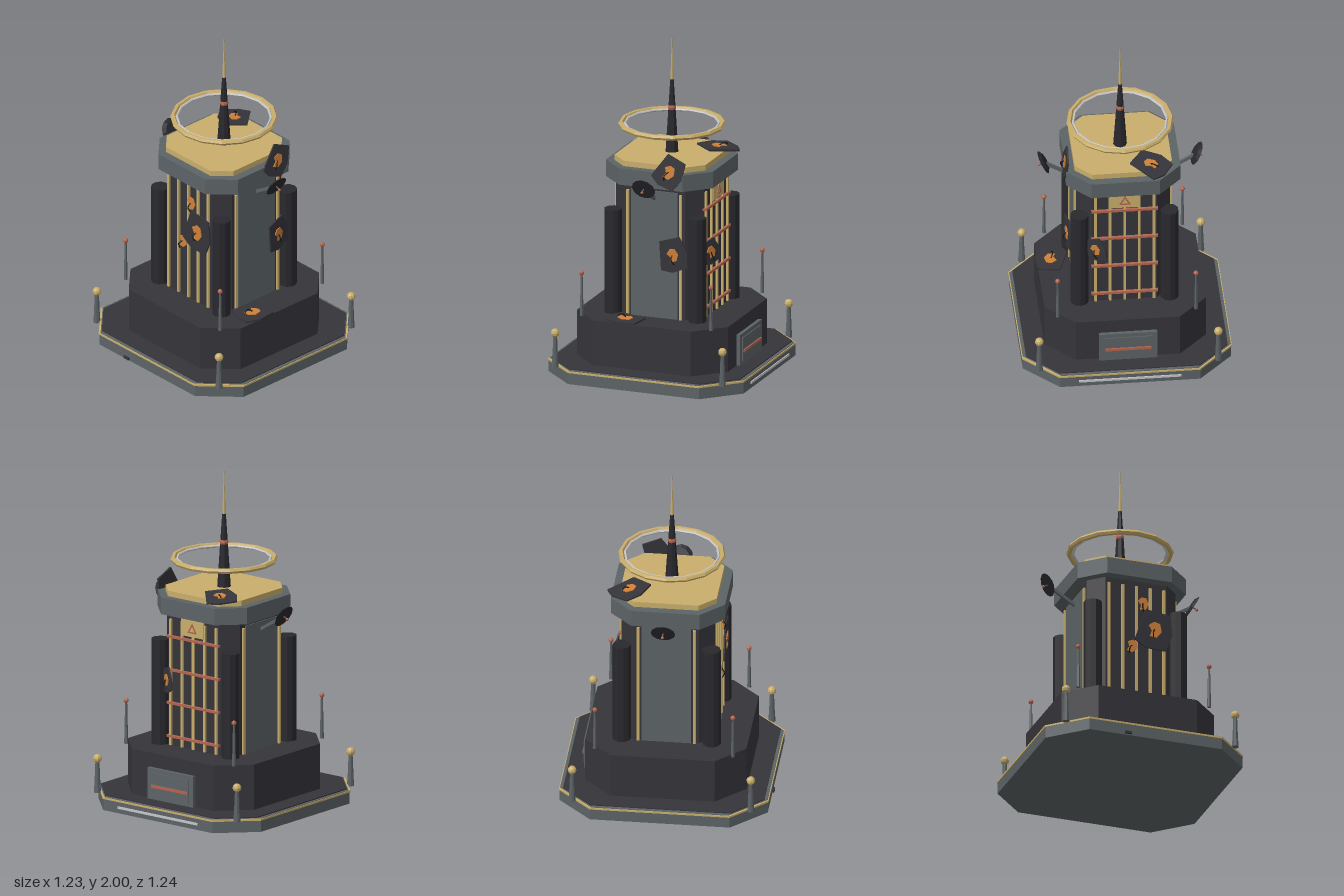
import * as THREE from 'three';

const mat = (name, color, side = THREE.FrontSide) => {
  const m = new THREE.MeshStandardMaterial({ color, side });
  m.name = name;
  return m;
};

export function createModel() {
  const root = new THREE.Group();
  root.name = 'tower';
  const dark = mat('dark slate', 0x35343a);
  const darker = mat('charcoal', 0x29282d);
  const grey = mat('steel grey', 0x5c6366);
  const gold = mat('gold', 0xc9ae6c);
  const copper = mat('copper', 0xb4644e);
  const orange = mat('ember orange', 0xd08038);
  const silver = mat('silver', 0xc6c6c8);
  const black = mat('soot black', 0x161618);

  const add = (name, geo, material, x = 0, y = 0, z = 0, parent = root) => {
    const m = new THREE.Mesh(geo, material);
    m.name = name;
    m.position.set(x, y, z);
    parent.add(m);
    return m;
  };
  const flat = (geo) => {
    const g = geo.toNonIndexed();
    g.computeVertexNormals();
    return g;
  };
  const box = (name, w, h, d, material, x, y, z, parent) =>
    add(name, new THREE.BoxGeometry(w, h, d), material, x, y, z, parent);
  const cone = (name, rTop, rBottom, y0, y1, sides, material, x = 0, z = 0) =>
    add(name, flat(new THREE.CylinderGeometry(rTop, rBottom, y1 - y0, sides)), material, x, (y0 + y1) / 2, z);
  const ball = (name, r, material, x, y, z, parent) =>
    add(name, flat(new THREE.SphereGeometry(r, 8, 6)), material, x, y, z, parent);
  const polygon = (points) => new THREE.Shape(points.map(([x, y]) => new THREE.Vector2(x, y)));
  const plate = (points, depth) => new THREE.ExtrudeGeometry(polygon(points), { depth, bevelEnabled: false });

  // Square prism with cut corners: half = half width, edge = half length of the straight sides
  const octagon = (name, half, edge, y0, y1, material) => {
    const geo = plate([
      [half, -edge], [half, edge], [edge, half], [-edge, half],
      [-half, edge], [-half, -edge], [-edge, -half], [edge, -half],
    ], y1 - y0);
    geo.rotateX(-Math.PI / 2);
    return add(name, geo, material, 0, y0, 0);
  };

  // Stacked body
  octagon('baseSlab', 0.61, 0.41, 0, 0.068, grey);
  octagon('baseTrim', 0.614, 0.411, 0.068, 0.079, gold);
  octagon('baseRim', 0.609, 0.4, 0.079, 0.082, grey);
  octagon('baseDeck', 0.59, 0.41, 0.079, 0.088, dark);
  octagon('podium', 0.473, 0.305, 0.085, 0.36, dark);
  octagon('towerShaft', 0.275, 0.19, 0.36, 1.16, dark);
  octagon('cornice', 0.335, 0.2, 1.16, 1.26, grey);
  octagon('roof', 0.285, 0.19, 1.26, 1.293, gold);

  // Vertical gold ribs on front and back
  for (const z of [-1, 1]) {
    for (let i = -2; i <= 2; i++) {
      box('rib', 0.016, 0.76, 0.02, gold, i * 0.085, 0.745, z * 0.278);
    }
  }

  // Grey side panels with gold edging
  for (const s of [-1, 1]) {
    box('sidePanel', 0.012, 0.77, 0.29, grey, s * 0.276, 0.745, 0);
    for (const z of [-1, 1]) box('sidePanelTrim', 0.022, 0.76, 0.016, gold, s * 0.277, 0.74, z * 0.165);
  }

  // Copper crossbars and emblem plate on the back
  for (let i = 0; i < 4; i++) box('crossbar', 0.39, 0.014, 0.022, copper, 0, 0.42 + i * 0.2, -0.281);
  box('emblemPlate', 0.17, 0.1, 0.009, gold, 0, 1.095, -0.2885);
  const tri = polygon([[-0.034, -0.025], [0.034, -0.025], [0, 0.035]]);
  tri.holes.push(new THREE.Path([[-0.021, -0.017], [0, 0.02], [0.021, -0.017]].map((p) => new THREE.Vector2(...p))));
  const emblem = new THREE.ExtrudeGeometry(tri, { depth: 0.004, bevelEnabled: false });
  add('emblemTriangle', emblem, copper, 0, 1.093, -0.297);

  // Back hatch, light strip, front vent
  box('hatchFrame', 0.34, 0.19, 0.03, grey, 0, 0.18, -0.48);
  box('hatchPanel', 0.28, 0.14, 0.006, grey, 0, 0.18, -0.498);
  box('hatchStripe', 0.27, 0.016, 0.01, copper, 0, 0.17, -0.504);
  box('lightStrip', 0.6, 0.014, 0.008, silver, 0, 0.035, -0.612);
  box('frontVent', 0.04, 0.014, 0.015, dark, -0.17, 0.014, 0.615);

  // Four corners: pillar, copper-tipped mast, gold-topped post
  for (const x of [-1, 1]) {
    for (const z of [-1, 1]) {
      cone('cornerPillar', 0.054, 0.054, 0.36, 0.99, 10, darker, x * 0.263, z * 0.263);
      cone('mast', 0.006, 0.012, 0.36, 0.62, 6, grey, x * 0.405, z * 0.405);
      ball('mastTip', 0.015, copper, x * 0.405, 0.62, z * 0.405);
      cone('postFoot', 0.019, 0.021, 0.07, 0.11, 8, grey, x * 0.524, z * 0.524);
      cone('post', 0.012, 0.018, 0.11, 0.26, 8, grey, x * 0.524, z * 0.524);
      ball('postBall', 0.026, gold, x * 0.524, 0.275, z * 0.524);
    }
  }

  // Spire
  cone('spireShaft', 0.011, 0.04, 1.29, 1.73, 8, darker);
  cone('spireTip', 0.001, 0.01, 1.73, 2, 8, gold);
  ball('spireBead', 0.026, copper, 0, 1.56, 0);

  // Floating ring
  const ring = (name, r, tube, material) => {
    const geo = new THREE.TorusGeometry(r, tube, 6, 16);
    geo.rotateX(Math.PI / 2);
    add(name, flat(geo), material, 0, 1.462, 0);
  };
  ring('outerRing', 0.298, 0.016, gold);
  ring('innerRing', 0.275, 0.008, silver);

  // Side dishes on slanted arms
  for (const s of [-1, 1]) {
    const arm = box('dishArm', 0.18, 0.018, 0.016, grey, s * 0.355, 1.13, 0);
    arm.rotation.z = s * 0.55;
    const dish = new THREE.Group();
    dish.name = 'dish';
    dish.position.set(s * 0.443, 1.19, 0);
    dish.lookAt(s * 1.323, 0.72, 0);
    const bowl = new THREE.CylinderGeometry(0.072, 0.05, 0.014, 12);
    bowl.rotateX(Math.PI / 2);
    add('dishBowl', flat(bowl), darker, 0, 0, 0, dish);
    box('dishFeed', 0.006, 0.006, 0.03, grey, 0, 0, 0.02, dish);
    ball('dishFeedTip', 0.009, copper, 0, 0, 0.036, dish);
    root.add(dish);
  }

  // Torn armour: bent dark plate, glowing core and a loose wire
  const scrap = [[-0.05, 0.13], [0.1, 0.11], [0.112, -0.02], [0.07, -0.12], [-0.05, -0.115], [-0.12, -0.07]];
  const core = [[-0.035, 0.03], [0, 0.055], [0.035, 0.045], [0.045, -0.005], [0.015, -0.045], [-0.03, -0.04], [-0.015, -0.005]];
  const damage = (pos, normal, size, spin, hasPlate = true, coreSize = 1) => {
    const g = new THREE.Group();
    g.name = 'damage';
    g.position.set(...pos);
    g.lookAt(pos[0] + normal[0], pos[1] + normal[1], pos[2] + normal[2]);
    g.rotateZ(spin);
    const scaled = (pts, k) => pts.map(([x, y]) => [x * k, y * k]);
    if (hasPlate) add('tornPlate', plate(scaled(scrap, size), 0.01), dark, 0, 0, 0, g);
    add('glowingCore', plate(scaled(core, coreSize), 0.006), orange, 0, 0, 0.009, g);
    const path = new THREE.CatmullRomCurve3([
      new THREE.Vector3(0, 0.005, 0.014), new THREE.Vector3(-0.012, -0.02, 0.03), new THREE.Vector3(-0.008, -0.05, 0.02),
    ]);
    add('looseWire', new THREE.TubeGeometry(path, 6, 0.004, 5), black, 0, 0, 0, g);
    root.add(g);
  };
  damage([0.1, 0.845, 0.3], [0, 0, 1], 1, 0);
  damage([0.035, 1.01, 0.282], [0, 0, 1], 1, 0.2, false, 0.8);
  damage([-0.035, 0.73, 0.282], [0, 0, 1], 1, -0.2, false, 0.8);
  damage([0.315, 0.76, -0.13], [1, 0, -0.15], 0.82, 0.4, true, 0.8);
  damage([0.325, 1.265, -0.11], [1, 0.1, 0], 0.8, -0.3, true, 0.85);
  damage([0.17, 0.76, -0.305], [0.5, 0, -0.85], 0.6, 0.5, true, 0.7);
  damage([-0.16, 1.297, -0.235], [-0.05, 1, -0.1], 0.9, 0.6, true, 0.85);
  damage([0.39, 0.362, 0.14], [0, 1, 0], 0.85, 0, true, 0.9);

  root.position.z = -0.004;
  const model = new THREE.Group();
  model.name = 'model';
  model.add(root);
  return model;
}
